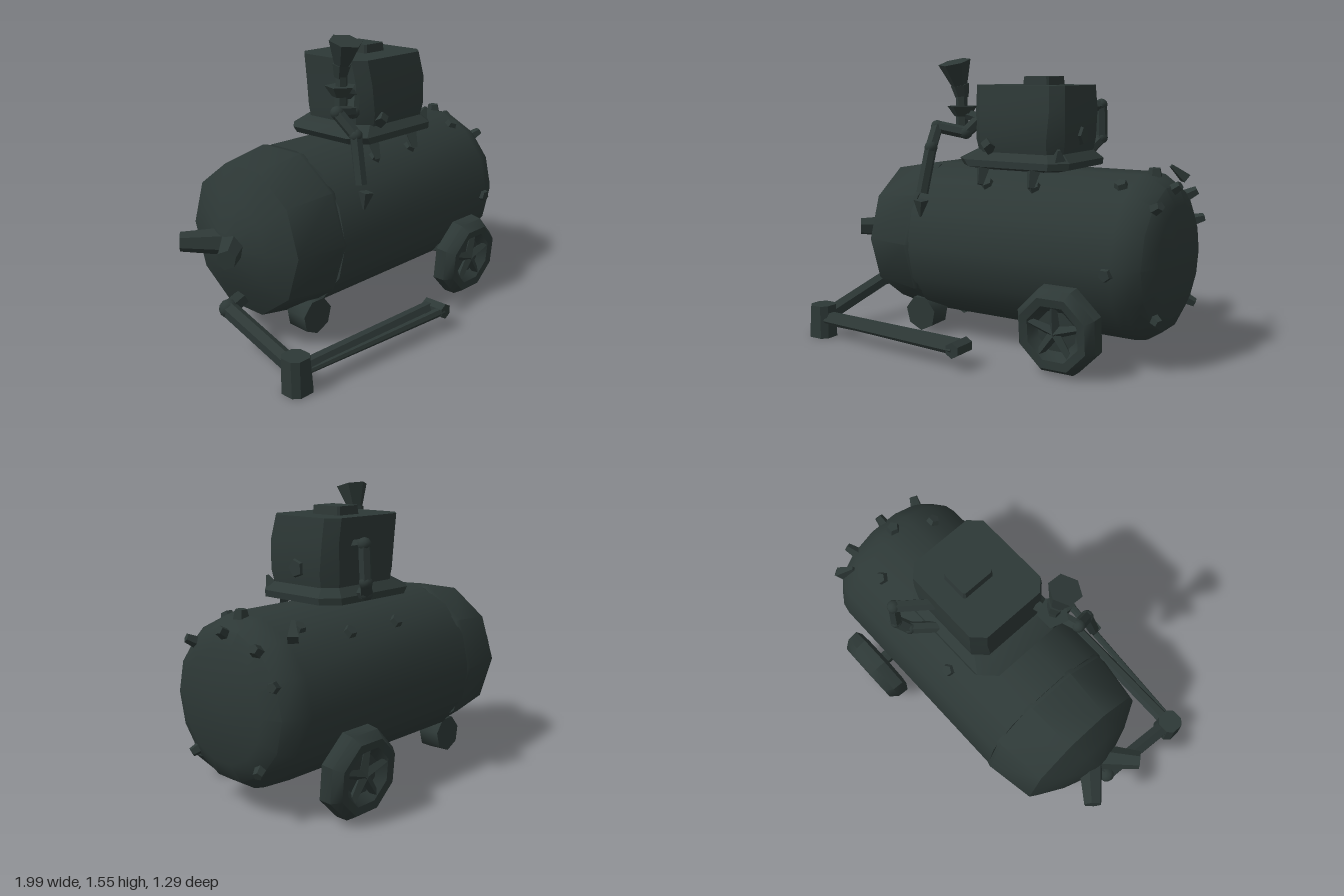
import * as THREE from 'three';
import { toCreasedNormals } from 'three/addons/utils/BufferGeometryUtils.js';

const iron = new THREE.MeshStandardMaterial({ color: 0x2d3836 });
iron.name = 'dark iron';

const V = (p) => new THREE.Vector3(...p);

function part(parent, name, geometry, crease = 0.7) {
  const mesh = new THREE.Mesh(toCreasedNormals(geometry, crease), iron);
  mesh.name = name;
  parent.add(mesh);
  return mesh;
}

// Tapered rod from a to b
function rod(parent, name, a, b, r0, r1 = r0, sides = 6) {
  const dir = V(b).sub(V(a));
  const mesh = part(parent, name, new THREE.CylinderGeometry(r1, r0, dir.length(), sides), 0.9);
  mesh.position.copy(V(a)).addScaledVector(dir, 0.5);
  mesh.quaternion.setFromUnitVectors(new THREE.Vector3(0, 1, 0), dir.normalize());
  return mesh;
}

// Bent pipe: straight rods joined by faceted elbows
function pipe(parent, name, points, r) {
  const group = new THREE.Group();
  group.name = name;
  parent.add(group);
  for (let i = 1; i < points.length; i++) {
    rod(group, name + 'Segment', points[i - 1], points[i], r);
    if (i < points.length - 1) {
      part(group, name + 'Elbow', new THREE.IcosahedronGeometry(r * 1.08, 1)).position.set(...points[i]);
    }
  }
}

// Loft of chamfered rectangles: [y, x0, x1, z0, z1, chamfer]
function loft(sections) {
  const pos = [], idx = [];
  for (const [y, x0, x1, z0, z1, c] of sections) {
    const ring = [[x0 + c, z1], [x1 - c, z1], [x1, z1 - c], [x1, z0 + c],
      [x1 - c, z0], [x0 + c, z0], [x0, z0 + c], [x0, z1 - c]];
    for (const [x, z] of ring) pos.push(x, y, z);
  }
  const top = (sections.length - 1) * 8;
  for (let s = 0; s < top; s += 8) {
    for (let i = 0; i < 8; i++) {
      const j = (i + 1) % 8;
      idx.push(s + i, s + j, s + 8 + j, s + i, s + 8 + j, s + 8 + i);
    }
  }
  for (let i = 1; i < 7; i++) idx.push(top, top + i, top + i + 1, 0, i + 1, i);
  const g = new THREE.BufferGeometry();
  g.setAttribute('position', new THREE.Float32BufferAttribute(pos, 3));
  g.setIndex(idx);
  return g;
}

function lathe(points, sides) {
  return new THREE.LatheGeometry(points.map(([r, y]) => new THREE.Vector2(r, y)), sides);
}

// Wheel facing +z with a dished hub and spokes
function wheel(name) {
  const group = new THREE.Group();
  group.name = name;
  const rim = lathe([[0, -0.065], [0.2, -0.065], [0.235, -0.045], [0.23, 0.02], [0.195, 0.065],
    [0.15, 0.06], [0.11, 0.015], [0, 0.025]], 8);
  rim.rotateX(Math.PI / 2).rotateZ(Math.PI / 8);
  part(group, 'rim', rim);
  for (let i = 0; i < 5; i++) {
    const a = (i / 5) * Math.PI * 2 + 0.3;
    rod(group, 'spoke', [0, 0, 0.025], [Math.cos(a) * 0.16, Math.sin(a) * 0.16, 0.04], 0.03, 0.018, 4);
  }
  return group;
}

export function createModel() {
  const model = new THREE.Group();
  model.name = 'towedTank';
  const cy = 0.565, cz = -0.065;

  // Tank barrel, rounded at one end
  const barrel = lathe([[0, -0.41], [0.437, -0.41], [0.437, 0.8], [0.425, 0.86], [0.375, 0.935],
    [0.28, 0.98], [0, 0.985]], 14);
  part(model, 'tankBarrel', barrel.rotateZ(-Math.PI / 2), 0.6).position.set(0, cy, cz);

  // Tapered nose with a slight lip over the barrel
  const nose = lathe([[0, -0.85], [0.08, -0.84], [0.25, -0.78], [0.4, -0.7], [0.445, -0.43], [0.437, -0.4], [0, -0.4]], 10);
  part(model, 'tankNose', nose.rotateZ(-Math.PI / 2), 0.7).position.set(0, cy, cz);

  // Forked hitch
  for (const s of [-1, 1]) {
    rod(model, 'hitchProng', [-0.8, 0.575, cz + s * 0.035], [-0.965, 0.58, cz + s * 0.18], 0.07, 0.05);
  }

  // Wheels, both leaning outward at the top
  for (const [name, z, turn] of [['leftWheel', 0.415, 0], ['rightWheel', -0.56, Math.PI]]) {
    const w = wheel(name);
    w.position.set(0.55, 0.245, z);
    w.rotation.set(0, turn, 0);
    w.children.forEach((c) => c.applyMatrix4(new THREE.Matrix4().makeRotationX(0.09)));
    model.add(w);
  }
  rod(model, 'axle', [0.55, 0.25, -0.52], [0.55, 0.25, 0.38], 0.04);

  // Small support feet under the nose
  for (const z of [0.147, -0.28]) {
    rod(model, 'foot', [-0.45, 0.145, z - 0.063], [-0.45, 0.14, z + 0.063], 0.1, 0.1, 7);
  }

  // Side drawbar: arm, hub and narrow looped handle
  pipe(model, 'drawbarArm', [[-0.68, 0.27, cz], [-0.87, 0.26, 0], [-0.895, 0.13, 0.5]], 0.045);
  const hub = part(model, 'drawbarHub', loft([[0.02, -0.97, -0.83, 0.46, 0.59, 0.03], [0.2, -0.965, -0.84, 0.455, 0.58, 0.03]]), 0.5);
  hub.rotation.y = 0;
  rod(model, 'handleBar', [-0.87, 0.125, 0.525], [0.07, 0.125, 0.545], 0.04, 0.034);
  rod(model, 'handleReturn', [-0.86, 0.12, 0.56], [0.07, 0.125, 0.625], 0.014, 0.025);
  rod(model, 'handleEnd', [0.075, 0.125, 0.515], [0.075, 0.125, 0.645], 0.042);

  // Engine: flared base plate, chamfered housing and filler cap
  part(model, 'engineBase', loft([[0.99, -0.1, 0.4, -0.24, 0.2, 0.06], [1.005, -0.17, 0.47, -0.3, 0.25, 0.08],
    [1.04, -0.195, 0.475, -0.3, 0.25, 0.08], [1.09, -0.1, 0.42, -0.25, 0.2, 0.06]]), 0.5);
  part(model, 'engineHousing', loft([[1.04, -0.08, 0.42, -0.25, 0.2, 0.06], [1.15, -0.1, 0.44, -0.265, 0.225, 0.07],
    [1.3, -0.1, 0.44, -0.27, 0.215, 0.06], [1.43, -0.11, 0.425, -0.275, 0.19, 0.06]]), 0.5);
  part(model, 'fillerCap', loft([[1.42, 0.11, 0.27, -0.165, 0.03, 0.01], [1.475, 0.115, 0.265, -0.16, 0.025, 0.01]]), 0.5);
  rod(model, 'sideKnob', [0.42, 1.17, -0.035], [0.455, 1.17, -0.035], 0.058, 0.045, 5);

  // Looped pipe behind the engine
  pipe(model, 'exhaustPipe', [[0.24, 1.285, -0.25], [0.36, 1.315, -0.42], [0.36, 1.13, -0.43],
    [0.31, 1.065, -0.39], [0.22, 1.04, -0.27]], 0.032);

  // Funnel on a jointed stem, with its drain pipe
  rod(model, 'funnelStem', [-0.2, 1.18, 0.14], [-0.2, 1.42, 0.15], 0.035, 0.03);
  rod(model, 'funnelNeck', [-0.2, 1.36, 0.14], [-0.205, 1.43, 0.155], 0.035, 0.05);
  rod(model, 'funnelCup', [-0.205, 1.42, 0.155], [-0.215, 1.55, 0.19], 0.04, 0.088);
  rod(model, 'jointCollar', [-0.2, 1.26, 0.14], [-0.2, 1.315, 0.14], 0.045, 0.085, 5);
  rod(model, 'stemArm', [-0.2, 1.28, 0.14], [-0.09, 1.25, 0.13], 0.03);
  pipe(model, 'drainPipe', [[-0.09, 1.25, 0.13], [-0.15, 1.175, 0.18], [-0.31, 1.205, 0.22],
    [-0.28, 1.1, 0.32], [-0.3, 0.86, 0.375]], 0.033);
  rod(model, 'drainTip', [-0.29, 0.825, 0.4], [-0.3, 0.735, 0.395], 0.04, 0.006, 4);

  // Rivets on the barrel: [x, angle from the top toward the front]
  for (const [x, a] of [[0.68, -0.55], [0.84, 0], [0.75, 0.5], [0.78, 1.62], [0.0, 0.66], [0.29, 0.66], [0.05, -0.75], [0.4, -0.75]]) {
    const at = (r) => [x, cy + Math.cos(a) * r, cz + Math.sin(a) * r];
    rod(model, 'barrelRivet', at(0.41), at(0.455), 0.042, 0.03, 5);
  }
  // Rivets around the rounded end
  for (const [z, y] of [[0.17, 0.85], [-0.065, 0.92], [-0.29, 0.87], [-0.4, 0.72], [-0.3, 0.3], [0.16, 0.3]]) {
    const out = new THREE.Vector3(0.035, (y - cy) * 0.06, (z - cz) * 0.06);
    const x = 0.95;
    rod(model, 'endRivet', [x - out.x, y - out.y, z - out.z], [x + out.x * 0.8, y + out.y, z + out.z], 0.036, 0.024, 5);
  }
  // Bolts on the engine base, and one loose spur at the back of the tank
  rod(model, 'baseBolt', [0.02, 1.1, 0.19], [0.02, 1.13, 0.25], 0.05, 0.03, 4);
  rod(model, 'baseBolt', [0.42, 1.06, 0.18], [0.43, 1.11, 0.2], 0.04, 0.01, 4);
  for (const x of [-0.02, 0.29]) rod(model, 'baseSpike', [x, 1.02, 0.2], [x, 0.91, 0.24], 0.045, 0.02, 4);
  rod(model, 'tankSpur', [0.8, 1.0, -0.38], [0.86, 0.93, -0.44], 0.012, 0.036, 4);

  return model;
}
